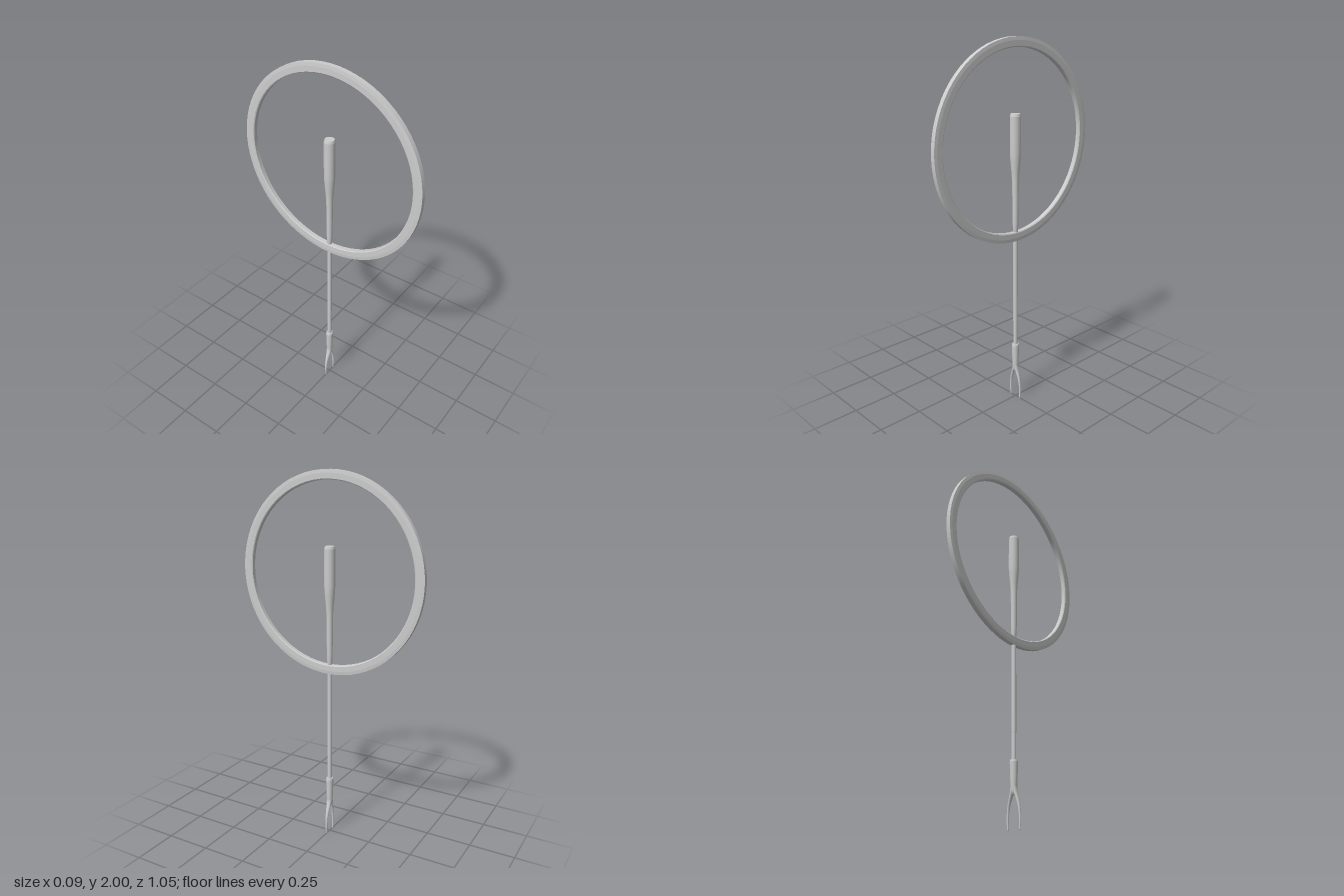
import * as THREE from 'three';

const v2 = (p) => new THREE.Vector2(p[0], p[1]);

// Linear lookup in [y, ...values] rows sorted by rising y
function sample(rows, y, k) {
  for (let i = 1; i < rows.length; i++) {
    if (y <= rows[i][0] || i === rows.length - 1) {
      const a = rows[i - 1], b = rows[i];
      const t = THREE.MathUtils.clamp((y - a[0]) / (b[0] - a[0]), 0, 1);
      return a[k] + (b[k] - a[k]) * t;
    }
  }
}

export function createModel() {
  const group = new THREE.Group();
  const grey = new THREE.MeshStandardMaterial({ color: 0xcccccc });
  grey.name = 'light grey';

  const add = (name, geometry) => {
    const mesh = new THREE.Mesh(geometry, grey);
    mesh.name = name;
    group.add(mesh);
    return mesh;
  };

  // Turned part: each profile segment is its own lathe band when the edge is sharp
  const turned = (name, runs, sides = 16) => {
    const part = new THREE.Group();
    part.name = name;
    runs.forEach((run, i) => {
      const mesh = new THREE.Mesh(new THREE.LatheGeometry(run.map(v2), sides), grey);
      mesh.name = name + 'Band' + (i + 1);
      part.add(mesh);
    });
    group.add(part);
    return part;
  };

  // Hoop: bevelled flat section, standing in the yz plane
  const section = [
    [0.475, -0.011], [0.48, -0.0145], [0.508, -0.0145], [0.525, -0.0125],
    [0.525, 0.0125], [0.508, 0.0145], [0.48, 0.0145], [0.475, 0.011], [0.475, -0.011],
  ];
  const hoop = turned('hoop', section.slice(1).map((p, i) => [section[i], p]), 72);
  hoop.rotation.z = Math.PI / 2;
  hoop.position.y = 1.475;

  // Grip with a chamfered cap, swelling above a slim neck
  turned('grip', [
    [[0.0105, 0.99], [0.0135, 1.01], [0.0155, 1.05], [0.0165, 1.15], [0.0175, 1.27],
      [0.021, 1.32], [0.0265, 1.38], [0.029, 1.42], [0.029, 1.5], [0.0285, 1.612]],
    [[0.0285, 1.612], [0.025, 1.625]],
    [[0.025, 1.625], [0, 1.625]],
  ]);

  // Shaft in two slightly different diameters
  turned('upperShaft', [
    [[0, 0.475], [0.0125, 0.475]],
    [[0.0125, 0.475], [0.0125, 1.0]],
  ]);
  turned('lowerShaft', [[[0.0115, 0.32], [0.0115, 0.48]]]);

  // Socket holding the fork
  turned('socket', [
    [[0, 0.16], [0.009, 0.163], [0.014, 0.18], [0.0165, 0.2], [0.0185, 0.25], [0.0205, 0.325]],
    [[0.0205, 0.325], [0.0185, 0.335]],
    [[0.0185, 0.335], [0, 0.335]],
  ]);

  // Prongs: rows of [height, centre x, half width x, half width z]
  const rows = [
    [0, 0.0355, 0.004, 0.003], [0.03, 0.0375, 0.005, 0.005], [0.065, 0.0375, 0.0055, 0.006],
    [0.1, 0.034, 0.006, 0.0075], [0.13, 0.027, 0.007, 0.009],
    [0.16, 0.0165, 0.0085, 0.0115], [0.185, 0.0095, 0.0085, 0.014], [0.21, 0.007, 0.008, 0.014],
  ];
  for (const side of [1, -1]) {
    const height = rows[rows.length - 1][0];
    const geo = new THREE.CylinderGeometry(1, 1, height, 12, 14);
    geo.translate(0, height / 2, 0);
    const pos = geo.attributes.position;
    for (let i = 0; i < pos.count; i++) {
      const y = pos.getY(i);
      pos.setX(i, side * sample(rows, y, 1) + pos.getX(i) * sample(rows, y, 2));
      pos.setZ(i, pos.getZ(i) * sample(rows, y, 3));
    }
    geo.computeVertexNormals();
    add(side > 0 ? 'leftProng' : 'rightProng', geo);
  }

  return group;
}
